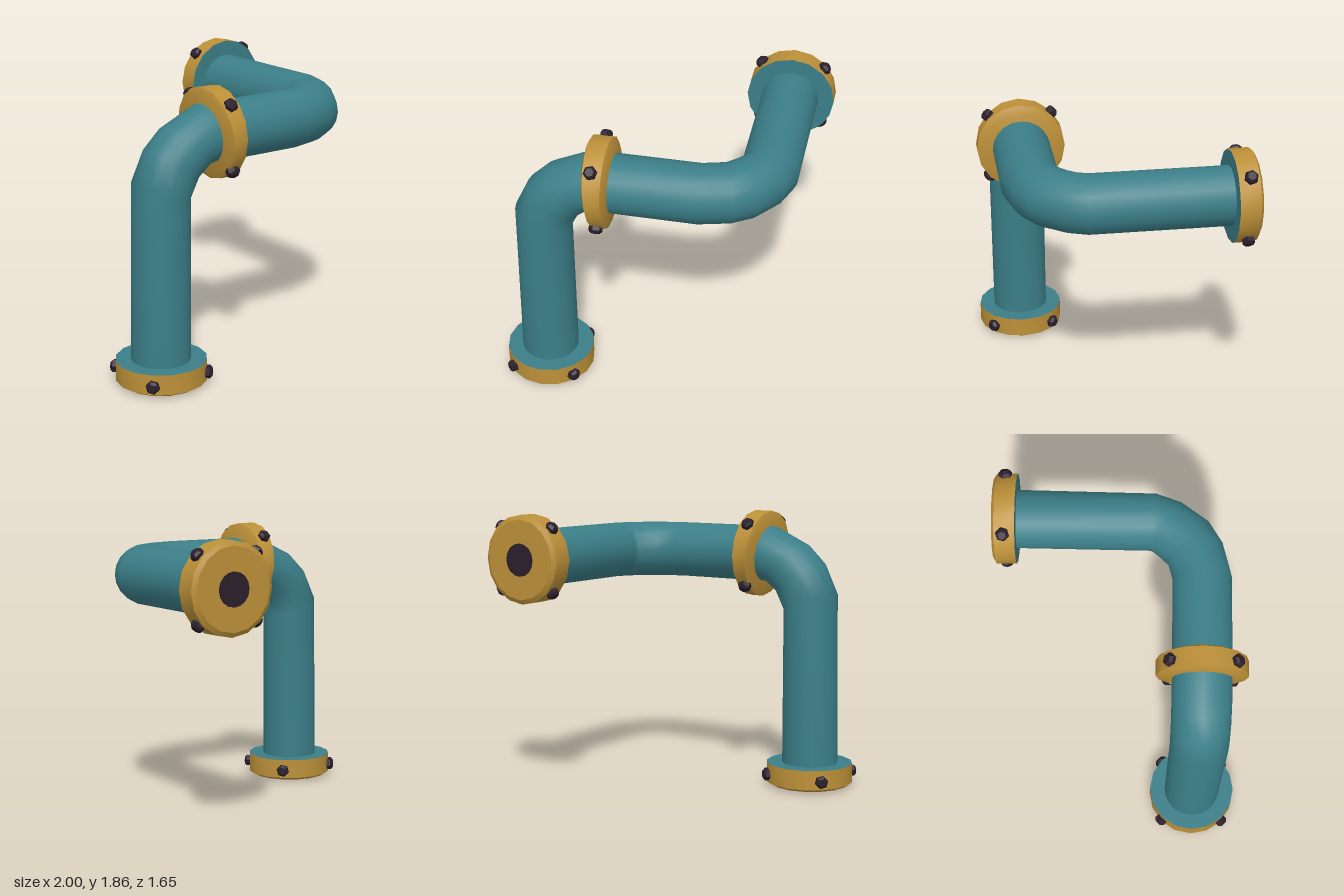
import * as THREE from 'three';
import { toCreasedNormals } from 'three/addons/utils/BufferGeometryUtils.js';

const teal = new THREE.MeshStandardMaterial({ color: 0x3b7e88 });
teal.name = 'teal paint';
const gold = new THREE.MeshStandardMaterial({ color: 0xbc9038 });
gold.name = 'brass';
const dark = new THREE.MeshStandardMaterial({ color: 0x2a1f2b });
dark.name = 'dark iron';

const PIPE_R = 0.19, FLANGE_R = 0.293, SIDES = 16;

function add(parent, name, geometry, material) {
  const mesh = new THREE.Mesh(geometry, material);
  mesh.name = name;
  parent.add(mesh);
  return mesh;
}

// Lathe from [radius, height] pairs, sharp at its chamfers
function turned(profile, sides) {
  const pts = profile.map(([r, y]) => new THREE.Vector2(r, y));
  return new THREE.LatheGeometry(pts, sides);
}

// Pipe skin from rings; each ring is [outer a, outer b, inner a, inner b] in the bend's plane
function pipeGeometry(rings, toSpace, side) {
  const n = 20, pos = [], index = [];
  rings.forEach(([oa, ob, ia, ib], i) => {
    const outer = toSpace(oa, ob), inner = toSpace(ia, ib);
    const centre = outer.clone().add(inner).multiplyScalar(0.5);
    const half = outer.clone().sub(centre);
    for (let j = 0; j < n; j++) {
      const t = (j / n) * Math.PI * 2;
      const p = centre.clone().addScaledVector(half, Math.cos(t)).addScaledVector(side, PIPE_R * Math.sin(t));
      pos.push(p.x, p.y, p.z);
      if (i < rings.length - 1) {
        const a = i * n + j, b = i * n + (j + 1) % n;
        index.push(a, b, a + n, b, b + n, a + n);
      }
    }
  });
  const g = new THREE.BufferGeometry();
  g.setAttribute('position', new THREE.Float32BufferAttribute(pos, 3));
  g.setIndex(index);
  g.computeVertexNormals();
  return g;
}

// Four hex bolts pointing outward around a flange's rim
function addBolts(parent, height, tilt = 0) {
  const head = toCreasedNormals(turned([[0.044, 0], [0.044, 0.04], [0.028, 0.056], [0, 0.056]], 6), 0.3);
  const up = new THREE.Vector3(0, 1, 0);
  for (let i = 0; i < 4; i++) {
    const a = Math.PI / 4 + (i * Math.PI) / 2;
    const dir = new THREE.Vector3(Math.cos(a), 0, Math.sin(a));
    const bolt = add(parent, 'bolt', head, dark);
    bolt.quaternion.setFromUnitVectors(up, dir);
    bolt.position.copy(dir).multiplyScalar(0.272);
    bolt.position.y = height + tilt * bolt.position.x;
  }
}

// End flange: painted inner face at y = 0, chamfered outer face with the bore
function endFlange(name) {
  const g = new THREE.Group();
  g.name = name;
  const T = 0.15;
  const ring = turned([[FLANGE_R, 0], [FLANGE_R, T - 0.018], [FLANGE_R - 0.03, T], [0, T]], SIDES);
  add(g, 'flangeRing', toCreasedNormals(ring, 0.5), gold);
  const face = add(g, 'flangeInnerFace', new THREE.CircleGeometry(FLANGE_R, SIDES), teal);
  face.rotation.x = Math.PI / 2;
  const bore = add(g, 'bore', new THREE.CylinderGeometry(0.108, 0.108, 0.008, SIDES), dark);
  bore.position.y = T + 0.004;
  addBolts(g, 0.076);
  return g;
}

// Middle flange: wedge-shaped collar, one face tilted
function middleFlange() {
  const g = new THREE.Group();
  g.name = 'middleFlange';
  const T = 0.135, R = FLANGE_R;
  const ring = turned([[0, 0], [R - 0.05, 0], [R, 0.02], [R, T - 0.015], [R - 0.04, T], [0, T]], SIDES);
  const p = ring.attributes.position;
  for (let i = 0; i < p.count; i++) p.setY(i, p.getY(i) * (1 + (0.12 / T) * p.getX(i)));
  add(g, 'middleRing', toCreasedNormals(ring, 0.5), gold);
  addBolts(g, 0.08, 0.055);
  return g;
}

export function createModel() {
  const model = new THREE.Group();
  model.name = 'bentPipe';

  // Upright pipe bending to the model's left
  const upright = [
    [-0.9, 0.1, -0.52, 0.1], [-0.88, 1.32, -0.52, 1.2], [-0.785, 1.52, -0.46, 1.315],
    [-0.66, 1.64, -0.37, 1.385], [-0.4, 1.76, -0.33, 1.38], [-0.28, 1.76, -0.28, 1.38],
  ];
  add(model, 'uprightPipe',
    pipeGeometry(upright, (a, b) => new THREE.Vector3(a, b, 0.53), new THREE.Vector3(0, 0, 1)), teal);

  // Level pipe bending to the back
  const level = [
    [-0.28, 0.72, -0.28, 0.34], [0.32, 0.72, 0.3, 0.34], [0.54, 0.665, 0.42, 0.305],
    [0.69, 0.575, 0.472, 0.25], [0.825, 0.395, 0.505, 0.21], [0.885, 0.23, 0.512, 0.195],
    [0.895, -0.72, 0.515, -0.72],
  ];
  add(model, 'levelPipe',
    pipeGeometry(level, (a, b) => new THREE.Vector3(a, 1.57, b), new THREE.Vector3(0, -1, 0)), teal);

  // Flanges
  const base = endFlange('baseFlange');
  base.rotation.x = Math.PI;
  base.position.set(-0.707, 0.158, 0.53);
  const back = endFlange('backFlange');
  back.rotation.x = -Math.PI / 2;
  back.position.set(0.707, 1.57, -0.67);
  const middle = middleFlange();
  middle.rotation.z = Math.PI / 2;
  middle.position.set(-0.235, 1.57, 0.53);
  model.add(base, back, middle);

  return model;
}
